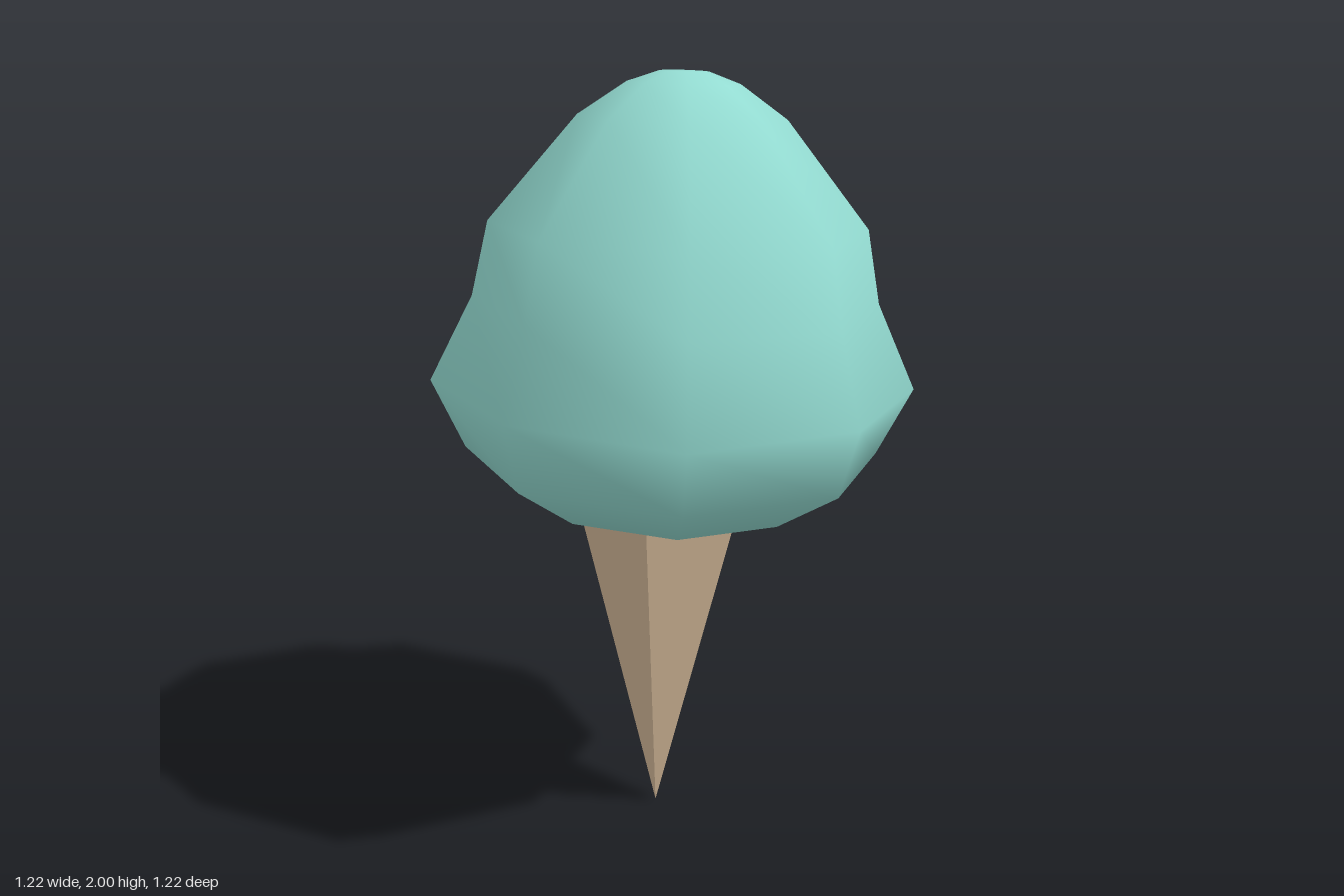
import * as THREE from 'three';
import { mergeVertices } from 'three/addons/utils/BufferGeometryUtils.js';

const SIDES = 8;

// Smooth-shaded eight-sided swirl; the widest ring is slightly squared off.
function scoopGeometry() {
  const profile = [
    [0, 0.915], [0.36, 0.915], [0.54, 1.035], [0.628, 1.212], [0.52, 1.435],
    [0.48, 1.625], [0.26, 1.89], [0.14, 1.972], [0.06, 2.0], [0, 2.0],
  ].map(([r, y]) => new THREE.Vector2(r, y));
  const widest = 3;
  const geometry = new THREE.LatheGeometry(profile, SIDES, THREE.MathUtils.degToRad(-13.8));
  const position = geometry.attributes.position;
  for (let column = 1; column < SIDES; column += 2) {
    const i = column * profile.length + widest;
    position.setX(i, position.getX(i) * 0.94);
    position.setZ(i, position.getZ(i) * 0.94);
  }
  // Slight lean towards +x
  geometry.translate(0, -1.21, 0).rotateZ(-0.033).translate(0, 1.21, 0);

  // Weld the seam so the shading is smooth all round
  geometry.deleteAttribute('normal');
  geometry.deleteAttribute('uv');
  const welded = mergeVertices(geometry, 1e-4);
  welded.computeVertexNormals();
  return welded;
}

// Five-sided wafer with its point on the ground, leaning into the scoop.
function coneGeometry() {
  const height = 1.0;
  const geometry = new THREE.CylinderGeometry(0.248, 0, height, 5, 1, false, THREE.MathUtils.degToRad(46));
  geometry.translate(0, height / 2, 0).rotateZ(-0.022).translate(-0.055, 0.005, 0);
  const flat = geometry.toNonIndexed();
  flat.computeVertexNormals();
  return flat;
}

export function createModel() {
  const mint = new THREE.MeshStandardMaterial({ color: 0x93dbd1 });
  mint.name = 'mint';
  const wafer = new THREE.MeshStandardMaterial({ color: 0xd3b898 });
  wafer.name = 'wafer';

  const model = new THREE.Group();
  model.name = 'iceCream';
  const scoop = new THREE.Mesh(scoopGeometry(), mint);
  scoop.name = 'scoop';
  const cone = new THREE.Mesh(coneGeometry(), wafer);
  cone.name = 'cone';
  model.add(scoop, cone);
  return model;
}
